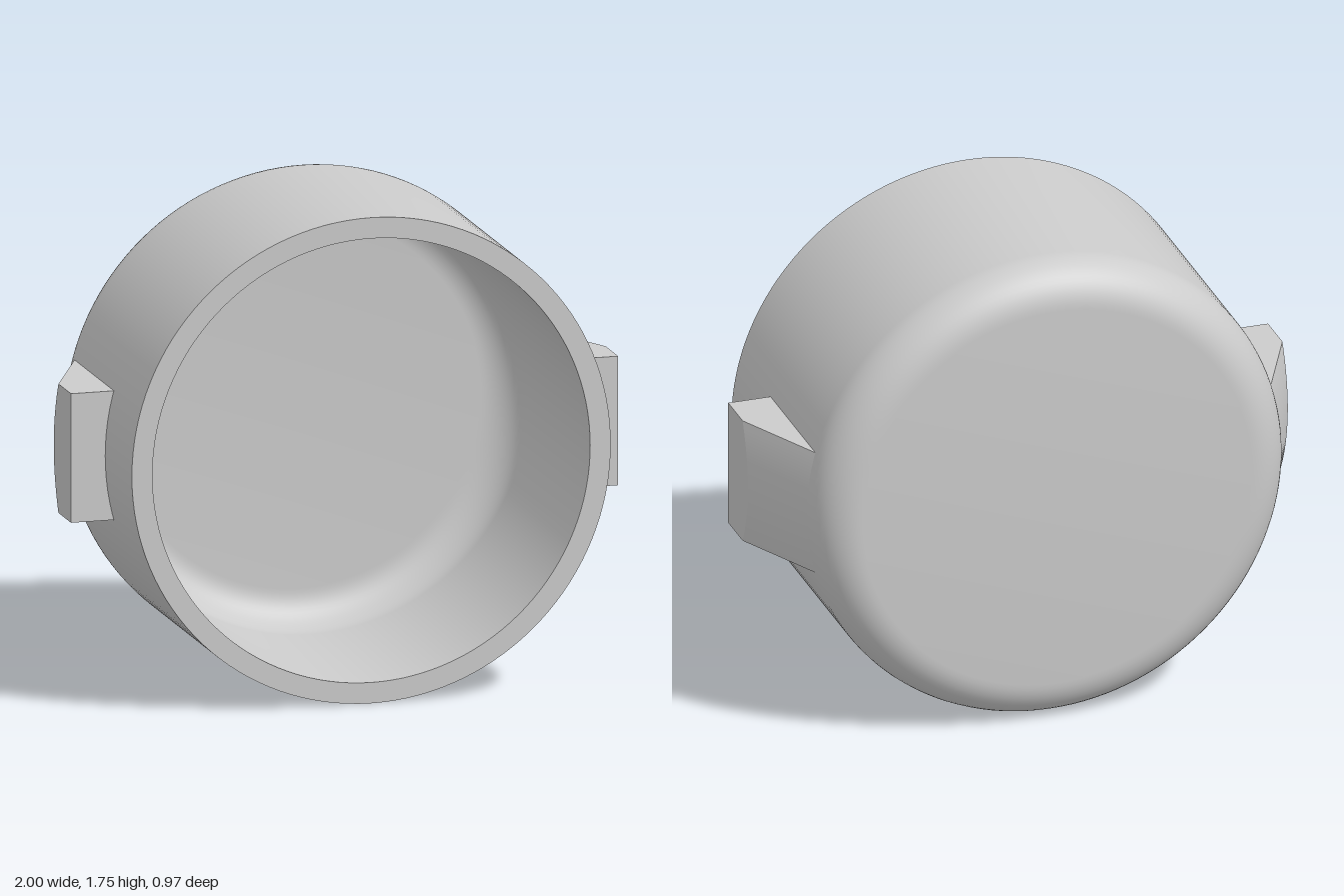
import * as THREE from 'three';
import { toCreasedNormals } from 'three/addons/utils/BufferGeometryUtils.js';

const R = 0.875;        // outer radius of the cup
const HALF = 0.485;     // half its depth
const material = new THREE.MeshStandardMaterial({ color: 0xcccccc });

// Quarter-round points from the floor to the wall
function fillet(radius, floorZ, r, steps = 12) {
  const pts = [];
  for (let i = 0; i <= steps; i++) {
    const a = (i / steps) * Math.PI / 2;
    pts.push(new THREE.Vector2(radius - r + r * Math.sin(a), floorZ + r - r * Math.cos(a)));
  }
  return pts;
}

// Hollow cup: closed back, open front, rounded inside and outside
function createCup() {
  const profile = [
    new THREE.Vector2(0, -HALF),
    ...fillet(R, -HALF, 0.155),
    new THREE.Vector2(R, HALF),
    new THREE.Vector2(0.8, HALF),
    ...fillet(0.8, -0.41, 0.135).reverse(),
    new THREE.Vector2(0, -0.41),
  ];
  const geometry = new THREE.LatheGeometry(profile, 128).rotateX(Math.PI / 2);
  return new THREE.Mesh(toCreasedNormals(geometry, 0.6), material);
}

// Side lug: flat outer face, with a conical ramp running back into the wall
function createLug() {
  const steps = 24, halfHeight = 0.2325, front = 0.155, slope = 0.46;
  const root = R - 0.01; // sunk slightly into the wall
  const rampZ = (radius) => -0.33 + (radius - R) / slope;
  const positions = [], index = [];
  for (let i = 0; i <= steps; i++) {
    const y = -halfHeight + (2 * halfHeight * i) / steps;
    const xIn = Math.sqrt(root * root - y * y);
    positions.push(
      xIn, y, front,
      1, y, front,
      1, y, rampZ(Math.hypot(1, y)),
      xIn, y, rampZ(root),
    );
  }
  for (let i = 0; i < steps; i++) {
    for (let j = 0; j < 4; j++) {
      const a = i * 4 + j, b = i * 4 + (j + 1) % 4;
      index.push(a, b, b + 4, a, b + 4, a + 4);
    }
  }
  const t = steps * 4;
  index.push(0, 2, 1, 0, 3, 2, t, t + 1, t + 2, t, t + 2, t + 3); // end caps
  const geometry = new THREE.BufferGeometry();
  geometry.setAttribute('position', new THREE.Float32BufferAttribute(positions, 3));
  geometry.setIndex(index);
  return new THREE.Mesh(toCreasedNormals(geometry, 0.3), material);
}

export function createModel() {
  const model = new THREE.Group();
  model.name = 'cap';

  const cup = createCup();
  cup.name = 'cup';
  model.add(cup);

  const leftLug = createLug();
  leftLug.name = 'leftLug';
  const rightLug = leftLug.clone();
  rightLug.name = 'rightLug';
  rightLug.rotation.z = Math.PI;
  model.add(leftLug, rightLug);

  for (const part of model.children) part.position.y = R;
  return model;
}
